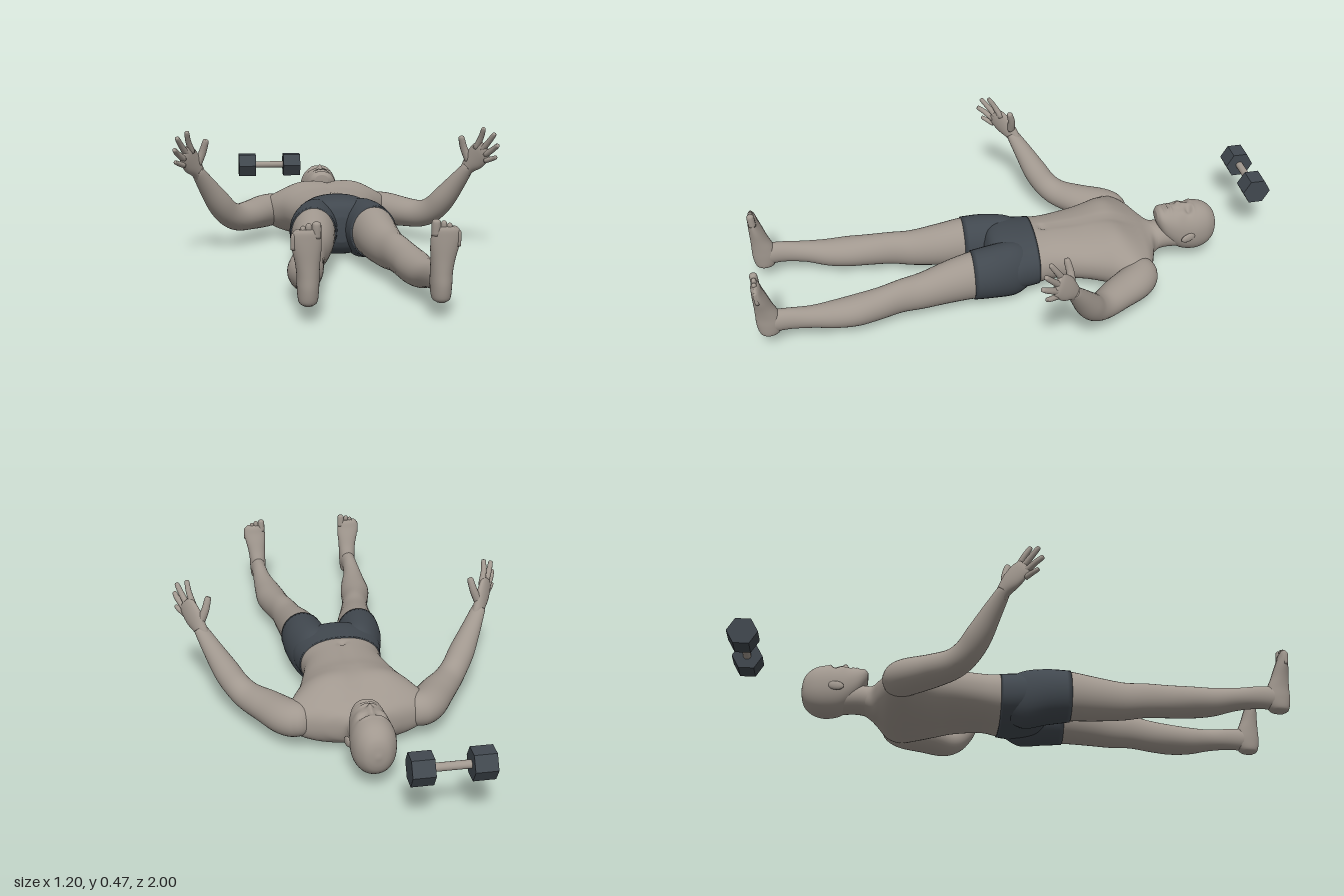
import * as THREE from 'three';

const V = (x, y, z) => new THREE.Vector3(x, y, z);
const Y = V(0, 1, 0), Z = V(0, 0, 1);

// Smooth closed surface through sections [x, y, z, halfWidth, halfDepth];
// "hint" sets the depth direction, "axis" (optional) fixes the ring normal.
function loft(sections, hint, { axis = null, power = 2, steps = 5, sides = 32, grow = 0 } = {}) {
  const path = new THREE.CatmullRomCurve3(sections.map(s => V(s[0], s[1], s[2])), false, 'catmullrom');
  const size = new THREE.CatmullRomCurve3(sections.map(s => V(s[3], s[4], 0)), false, 'catmullrom');
  const rings = (sections.length - 1) * steps;
  const pos = [], idx = [];
  const bend = c => Math.sign(c) * Math.abs(c) ** (2 / power);
  for (let i = 0; i <= rings; i++) {
    const c = path.getPoint(i / rings), r = size.getPoint(i / rings);
    const t = axis || path.getTangent(i / rings);
    const v = hint.clone().addScaledVector(t, -hint.dot(t)).normalize();
    const u = v.clone().cross(t);
    for (let j = 0; j < sides; j++) {
      const a = j / sides * Math.PI * 2;
      const p = c.clone().addScaledVector(u, bend(Math.cos(a)) * (r.x + grow))
        .addScaledVector(v, bend(Math.sin(a)) * (r.y + grow));
      pos.push(p.x, p.y, p.z);
    }
  }
  const first = sections[0], last = sections[sections.length - 1];
  const start = pos.length / 3, end = start + 1;
  pos.push(first[0], first[1], first[2], last[0], last[1], last[2]);
  for (let j = 0; j < sides; j++) {
    const k = (j + 1) % sides, e = rings * sides;
    for (let i = 0; i < rings; i++) {
      const a = i * sides + j, b = i * sides + k;
      idx.push(a, b, b + sides, a, b + sides, a + sides);
    }
    idx.push(start, k, j, end, e + j, e + k);
  }
  const geo = new THREE.BufferGeometry();
  geo.setAttribute('position', new THREE.Float32BufferAttribute(pos, 3));
  geo.setIndex(idx);
  geo.computeVertexNormals();
  return geo;
}

// Raise or sink the surface in y around points [x, y, z, rx, rz, height], mirrored in x
function sculpt(geo, bumps) {
  const p = geo.attributes.position;
  for (let i = 0; i < p.count; i++) {
    const x = Math.abs(p.getX(i)), y = p.getY(i), z = p.getZ(i);
    let d = 0;
    for (const [bx, by, bz, rx, rz, h] of bumps)
      d += h * Math.exp(-(((x - bx) / rx) ** 2) - ((z - bz) / rz) ** 2 - ((y - by) / 0.05) ** 2);
    p.setY(i, y + d);
  }
  geo.computeVertexNormals();
  return geo;
}

// Cross-section of the trunk or head: z, half width, top y, bottom y
const slice = ([z, a, top, bottom]) => [0, (top + bottom) / 2, z, a, (top - bottom) / 2];

export function createModel() {
  const model = new THREE.Group();
  const paint = (name, color) => {
    const m = new THREE.MeshStandardMaterial({ color });
    m.name = name;
    return m;
  };
  const skin = paint('skin', 0xa1988f), cloth = paint('charcoal', 0x41484f);
  const add = (name, geo, mat = skin, parent = model) => {
    const m = new THREE.Mesh(geo, mat);
    m.name = name;
    parent.add(m);
    return m;
  };

  // Trunk with chest and stomach relief
  const trunk = [
    [-0.53, 0.055, 0.17, 0.07], [-0.5, 0.075, 0.17, 0.052], [-0.475, 0.14, 0.175, 0.04],
    [-0.44, 0.225, 0.19, 0.02], [-0.39, 0.26, 0.21, 0.008], [-0.33, 0.228, 0.228, 0.008],
    [-0.27, 0.195, 0.231, 0.015], [-0.2, 0.172, 0.225, 0.028], [-0.1, 0.147, 0.223, 0.032],
    [-0.035, 0.15, 0.223, 0.02]];
  add('torso', sculpt(loft(trunk.map(slice), Y, { axis: Z, power: 2.2, sides: 64, steps: 8 }), [
    [0.1, 0.21, -0.34, 0.08, 0.06, 0.012], [0, 0.22, -0.34, 0.014, 0.08, -0.006],
    [0, 0.22, -0.16, 0.012, 0.1, -0.005], [0, 0.22, -0.075, 0.01, 0.012, -0.01],
    [0, 0.01, -0.25, 0.03, 0.2, 0.012]]));
  const pelvis = [
    [-0.04, 0.15, 0.223, 0.02], [0, 0.156, 0.224, 0.016], [0.05, 0.163, 0.224, 0.018],
    [0.095, 0.15, 0.218, 0.03], [0.125, 0.1, 0.2, 0.05], [0.142, 0.03, 0.16, 0.08]];
  add('shortsHips', loft(pelvis.map(slice), Y, { axis: Z, power: 2.2, sides: 48, grow: 0.003 }), cloth);

  // Neck and head with sculpted face
  add('neck', loft([[0, 0.115, -0.62, 0.055, 0.05], [0, 0.122, -0.55, 0.057, 0.053],
    [0, 0.115, -0.5, 0.066, 0.056], [0, 0.11, -0.45, 0.09, 0.06]], Y, { axis: Z }));
  const head = [
    [-0.756, 0.006, 0.155, 0.143], [-0.75, 0.033, 0.19, 0.108], [-0.737, 0.051, 0.215, 0.082],
    [-0.71, 0.068, 0.237, 0.06], [-0.675, 0.076, 0.247, 0.05], [-0.64, 0.075, 0.247, 0.052],
    [-0.61, 0.071, 0.245, 0.062], [-0.58, 0.066, 0.243, 0.085], [-0.55, 0.058, 0.243, 0.12],
    [-0.53, 0.045, 0.24, 0.16], [-0.518, 0.026, 0.228, 0.19]];
  add('head', sculpt(loft(head.map(slice), Y, { axis: Z, power: 2.15, sides: 96, steps: 8 }), [
    [0.028, 0.235, -0.637, 0.015, 0.011, -0.014], [0.026, 0.24, -0.656, 0.022, 0.007, 0.005],
    [0, 0.245, -0.615, 0.008, 0.022, 0.01], [0, 0.245, -0.6, 0.011, 0.01, 0.013],
    [0.045, 0.22, -0.61, 0.015, 0.015, 0.005], [0.012, 0.243, -0.572, 0.016, 0.005, 0.006],
    [0, 0.243, -0.566, 0.026, 0.0025, -0.006], [0.01, 0.243, -0.56, 0.014, 0.004, 0.005],
    [0, 0.243, -0.548, 0.03, 0.006, -0.005]]));

  // Limbs, built once per side
  for (const [side, s] of [['left', 1], ['right', -1]]) {
    const flip = list => list.map(([x, ...rest]) => [x * s, ...rest]);

    const ear = new THREE.SphereGeometry(1, 16, 12);
    ear.scale(0.008, 0.017, 0.03);
    const earMesh = add(side + 'Ear', ear);
    earMesh.position.set(0.078 * s, 0.142, -0.63);
    earMesh.rotation.set(0.2, 0.2 * s, 0);

    add(side + 'Arm', loft(flip([
      [0.17, 0.115, -0.425, 0.03, 0.04], [0.205, 0.112, -0.41, 0.06, 0.06],
      [0.25, 0.108, -0.375, 0.068, 0.064], [0.305, 0.108, -0.295, 0.064, 0.057],
      [0.36, 0.112, -0.225, 0.053, 0.052], [0.4, 0.138, -0.18, 0.048, 0.049],
      [0.435, 0.185, -0.145, 0.047, 0.046], [0.475, 0.25, -0.107, 0.037, 0.035],
      [0.507, 0.305, -0.075, 0.028, 0.024], [0.515, 0.32, -0.066, 0.024, 0.02]]), Y));

    // Hand: flat palm, four fingers and a thumb
    const hand = new THREE.Group();
    hand.name = side + 'Hand';
    model.add(hand);
    const palmNormal = V(-0.76 * s, -0.08, 0.64);
    add('palm', loft(flip([
      [0.502, 0.295, -0.08, 0.024, 0.018], [0.515, 0.32, -0.066, 0.03, 0.02],
      [0.533, 0.35, -0.042, 0.043, 0.019], [0.551, 0.382, -0.014, 0.042, 0.015],
      [0.56, 0.398, 0, 0.03, 0.009]]), palmNormal), skin, hand);
    const digits = {
      indexFinger: [[0.532, 0.392, -0.027], [0.545, 0.435, -0.003], [0.549, 0.468, 0.018]],
      middleFinger: [[0.552, 0.387, -0.01], [0.572, 0.424, 0.02], [0.584, 0.45, 0.042]],
      ringFinger: [[0.562, 0.37, 0], [0.584, 0.394, 0.032], [0.594, 0.41, 0.055]],
      littleFinger: [[0.562, 0.347, 0], [0.582, 0.357, 0.024], [0.592, 0.364, 0.04]],
      thumb: [[0.513, 0.342, -0.062], [0.493, 0.388, -0.061], [0.481, 0.429, -0.052]],
    };
    for (const [name, [a, b, c]] of Object.entries(digits)) {
      const r = name === 'thumb' ? 0.014 : name === 'littleFinger' ? 0.009 : 0.0105;
      const tip = c.map((n, i) => n + (n - b[i]) * 0.15);
      add(name, loft(flip([[...a, r * 1.15, r * 1.15], [...b, r, r],
        [...c, r * 0.8, r * 0.8], [...tip, r * 0.25, r * 0.25]]), palmNormal, { sides: 12 }), skin, hand);
    }

    // Leg, with the shorts as a slightly larger sleeve over the thigh
    const leg = flip([
      [0.078, 0.115, -0.01, 0.055, 0.08], [0.085, 0.113, 0.05, 0.078, 0.105],
      [0.1, 0.12, 0.13, 0.083, 0.1], [0.109, 0.122, 0.21, 0.078, 0.092],
      [0.117, 0.112, 0.3, 0.071, 0.082], [0.133, 0.1, 0.4, 0.06, 0.07],
      [0.148, 0.1, 0.48, 0.053, 0.064], [0.165, 0.092, 0.56, 0.055, 0.06],
      [0.178, 0.087, 0.64, 0.059, 0.057], [0.186, 0.088, 0.72, 0.051, 0.051],
      [0.196, 0.098, 0.8, 0.038, 0.042], [0.2, 0.107, 0.88, 0.031, 0.042],
      [0.2, 0.106, 0.94, 0.031, 0.044], [0.2, 0.1, 0.965, 0.026, 0.036]]);
    add(side + 'Leg', loft(leg.slice(2), Y, { axis: Z }));
    add(side + 'ShortsLeg', loft(leg.slice(0, 4), Y, { axis: Z, grow: 0.004 }), cloth);

    // Foot standing upright, toes on top
    add(side + 'Foot', loft(flip([
      [0.2, 0.05, 0.957, 0.014, 0.016], [0.2, 0.062, 0.953, 0.028, 0.036],
      [0.2, 0.1, 0.95, 0.033, 0.047], [0.2, 0.14, 0.955, 0.034, 0.042],
      [0.202, 0.18, 0.964, 0.037, 0.033], [0.205, 0.22, 0.972, 0.043, 0.026],
      [0.207, 0.25, 0.978, 0.045, 0.02], [0.207, 0.272, 0.981, 0.042, 0.016],
      [0.205, 0.284, 0.982, 0.034, 0.01]]), Z, { axis: Y }));
    [[0.177, 0.307, 0.014], [0.2, 0.302, 0.0095], [0.217, 0.295, 0.009],
      [0.232, 0.286, 0.0085], [0.245, 0.274, 0.008]].forEach(([x, y, r], i) => {
      add(side + 'Toe' + (i + 1), loft(flip([[x, y - 0.05, 0.98, r, r], [x, y - 0.015, 0.983, r, r],
        [x, y - 0.004, 0.983, r * 0.8, r * 0.8], [x, y, 0.983, r * 0.2, r * 0.2]]), Z, { axis: Y, sides: 12 }));
    });
  }

  // Dumbbell beyond the head
  const dumbbell = new THREE.Group();
  dumbbell.name = 'dumbbell';
  dumbbell.position.set(-0.19, 0.22, -0.945);
  dumbbell.rotation.z = Math.PI / 2;
  model.add(dumbbell);
  add('handle', new THREE.CylinderGeometry(0.014, 0.014, 0.14, 20), skin, dumbbell);
  for (const s of [-1, 1]) {
    const weight = new THREE.CylinderGeometry(0.054, 0.054, 0.074, 6).toNonIndexed();
    weight.computeVertexNormals();
    add('weight', weight, cloth, dumbbell).position.y = 0.098 * s;
  }
  return model;
}
